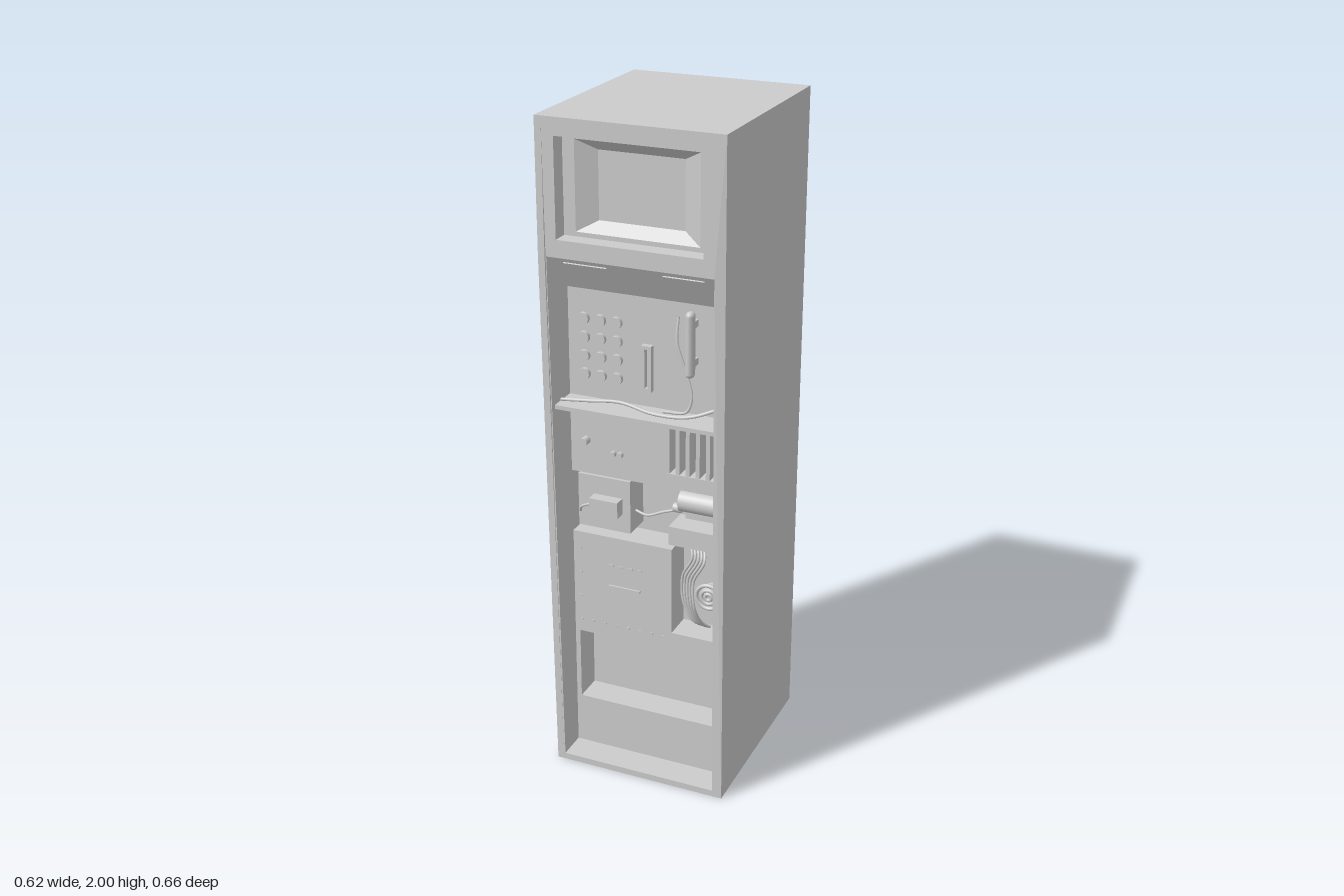
import * as THREE from 'three';

const grey = new THREE.MeshStandardMaterial({ color: 0xcccccc, side: THREE.DoubleSide });

export function createModel() {
  const root = new THREE.Group();

  const add = (name, geo, x = 0, y = 0, z = 0) => {
    const m = new THREE.Mesh(geo, grey);
    m.name = name;
    m.position.set(x, y, z);
    root.add(m);
    return m;
  };
  // Box given by its limits
  const box = (name, x0, x1, y0, y1, z0, z1) =>
    add(name, new THREE.BoxGeometry(x1 - x0, y1 - y0, z1 - z0), (x0 + x1) / 2, (y0 + y1) / 2, (z0 + z1) / 2);
  const polygon = pts => pts.map(p => new THREE.Vector2(...p));
  const rect = (x0, x1, y0, y1) => polygon([[x0, y0], [x1, y0], [x1, y1], [x0, y1]]);
  const extrude = (outline, holes, depth) => {
    const s = new THREE.Shape(outline);
    s.holes = holes.map(h => new THREE.Path(h));
    return new THREE.ExtrudeGeometry(s, { depth, bevelEnabled: false });
  };
  // Upright plate with rectangular holes
  const plate = (name, outline, holes, z0, z1) => add(name, extrude(outline, holes, z1 - z0), 0, 0, z0);
  // Profile in (z, y) carried along x
  const sideProfile = (name, pts, holes, x0, x1) =>
    add(name, extrude(polygon(pts), holes, x1 - x0).rotateY(-Math.PI / 2), x1);
  const tube = (name, pts, r, seg = 40) =>
    add(name, new THREE.TubeGeometry(new THREE.CatmullRomCurve3(pts.map(p => new THREE.Vector3(...p))), seg, r, 8));
  // Round part whose axis points forward
  const disc = (name, r, depth, x, y, z, sides = 20) =>
    add(name, new THREE.CylinderGeometry(r, r, depth, sides).rotateX(Math.PI / 2), x, y, z + depth / 2);

  // Cabinet: solid rear, tapering front frame and side wall with a socket recess
  box('cabinetBody', -0.21, 0.31, 0, 2, -0.295, 0.12);
  const frame = plate('frontFrame', rect(-0.21, 0.31, 0, 2),
    [rect(-0.175, 0.25, 1.67, 1.95), rect(-0.205, 0.28, 0.02, 1.62)], 0.12, 0.33);
  const fp = frame.geometry.attributes.position;
  for (let i = 0; i < fp.count; i++) {
    if (fp.getZ(i) > 0.1) fp.setZ(i, 0.18 + 0.03 * Math.min(1, fp.getY(i) / 1.62));
  }
  frame.geometry.computeVertexNormals();
  sideProfile('sideWall', [[-0.295, 0], [0.3, 0], [0.33, 1.62], [0.33, 2], [-0.295, 2]],
    [rect(-0.09, 0.16, 1.29, 1.53)], -0.23, -0.21);

  // Screen with a sloping bezel
  plate('screenSurround', rect(-0.175, 0.25, 1.67, 1.95), [rect(-0.14, 0.22, 1.683, 1.935)], 0.24, 0.28);
  const bezel = new THREE.BufferGeometry();
  const outer = rect(-0.14, 0.22, 1.683, 1.935), inner = rect(-0.085, 0.165, 1.713, 1.905);
  const corners = [];
  for (let i = 0; i < 4; i++) {
    const j = (i + 1) % 4;
    const [a, b] = [outer[i], outer[j]].map(p => [p.x, p.y, 0.28]);
    const [c, d] = [inner[j], inner[i]].map(p => [p.x, p.y, 0.25]);
    corners.push(...a, ...b, ...c, ...a, ...c, ...d);
  }
  bezel.setAttribute('position', new THREE.Float32BufferAttribute(corners, 3));
  bezel.computeVertexNormals();
  add('screenBezel', bezel);
  box('screen', -0.085, 0.165, 1.713, 1.905, 0.23, 0.25);

  // Overhanging strip with two small windows
  sideProfile('headerStrip', [[0.12, 1.5], [0.21, 1.5], [0.28, 1.62], [0.12, 1.62]], [], -0.205, 0.28);
  for (const [x, w] of [[-0.125, 0.13], [0.165, 0.12]]) {
    const label = add('headerWindow', new THREE.BoxGeometry(w, 0.06, 0.008), x, 1.56, 0.245);
    label.rotation.x = Math.atan2(0.07, 0.12);
  }

  // Upper panel with vent opening
  plate('controlPanel', rect(-0.205, 0.28, 0.94, 1.5), [rect(0.09, 0.255, 0.985, 1.13)], 0.12, 0.21);
  for (let i = 0; i < 6; i++) box('ventFin', 0.09 + i * 0.0306, 0.102 + i * 0.0306, 0.985, 1.13, 0.13, 0.208);
  for (let row = 0; row < 4; row++) {
    for (let col = 0; col < 3; col++) {
      disc('keypadButton', 0.017, 0.012, -0.155 + col * 0.05, 1.415 - row * 0.055, 0.21, 16);
    }
  }
  plate('cardSlot', rect(0.025, 0.055, 1.23, 1.365), [rect(0.035, 0.045, 1.24, 1.355)], 0.21, 0.228);

  // Handset, its cradle and cord
  const handset = add('handset', new THREE.CapsuleGeometry(0.013, 0.165, 6, 12), 0.178, 1.395, 0.243);
  handset.scale.z = 1.3;
  for (const y of [1.34, 1.45]) box('handsetCradle', 0.168, 0.188, y - 0.01, y + 0.01, 0.21, 0.24);
  tube('handsetCord', [[0.13, 1.46, 0.212], [0.132, 1.39, 0.225], [0.16, 1.31, 0.23], [0.18, 1.24, 0.235],
    [0.165, 1.195, 0.24], [0.1, 1.19, 0.25]], 0.004);

  // Shelf with a loose cable
  box('shelf', -0.205, 0.28, 1.168, 1.18, 0.21, 0.305);
  tube('shelfCable', [[-0.203, 1.185, 0.27], [-0.12, 1.19, 0.26], [-0.03, 1.196, 0.25], [0.08, 1.185, 0.265],
    [0.18, 1.19, 0.26], [0.279, 1.225, 0.23]], 0.005);

  // Knobs below the shelf
  disc('knob', 0.012, 0.025, -0.155, 1.045, 0.21);
  for (const x of [-0.07, -0.048]) disc('smallKnob', 0.009, 0.015, x, 1.017, 0.21);

  // Middle bay: junction box, motor and bracket
  box('junctionBox', -0.185, -0.02, 0.77, 0.935, 0.12, 0.21);
  box('junctionCover', -0.135, -0.045, 0.828, 0.878, 0.21, 0.245);
  tube('junctionWire', [[-0.18, 0.815, 0.21], [-0.17, 0.835, 0.222], [-0.135, 0.853, 0.225]], 0.004, 16);
  tube('motorWire', [[-0.02, 0.828, 0.17], [0.02, 0.825, 0.18], [0.07, 0.845, 0.18], [0.125, 0.865, 0.18]], 0.004);
  add('motor', new THREE.CylinderGeometry(0.032, 0.032, 0.135, 24).rotateZ(Math.PI / 2), 0.195, 0.895, 0.18);
  add('motorCap', new THREE.CylinderGeometry(0.014, 0.014, 0.025, 16).rotateZ(Math.PI / 2), 0.117, 0.868, 0.18);
  box('motorMount', 0.125, 0.265, 0.82, 0.93, 0.12, 0.145);
  box('motorBracket', 0.1, 0.255, 0.76, 0.818, 0.12, 0.21);

  // Lower cover plate with small fasteners
  box('lowerCover', -0.205, 0.11, 0.42, 0.745, 0.12, 0.21);
  for (let i = 0; i < 8; i++) box('screw', -0.186 + i * 0.038, -0.178 + i * 0.038, 0.45, 0.456, 0.21, 0.213);
  for (const y of [0.53, 0.61, 0.69]) box('screw', -0.186, -0.178, y, y + 0.006, 0.21, 0.213);
  for (let i = 0; i < 4; i++) box('screw', -0.09 + i * 0.03, -0.075 + i * 0.03, 0.65, 0.656, 0.21, 0.213);
  box('coverHandle', -0.09, 0.01, 0.58, 0.588, 0.21, 0.216);

  // Wire bay with a round horn
  box('wireBayEdge', 0.245, 0.28, 0.42, 0.745, 0.12, 0.21);
  box('wireBaySill', 0.11, 0.245, 0.42, 0.47, 0.12, 0.21);
  disc('horn', 0.028, 0.04, 0.205, 0.585, 0.12, 24);
  for (const r of [0.038, 0.022, 0.01]) add('hornRing', new THREE.TorusGeometry(r, 0.006, 8, 24), 0.205, 0.585, 0.16);
  for (let i = 0; i < 5; i++) {
    const o = i * 0.011;
    tube('bayWire', [[0.14 + o, 0.757, 0.15], [0.16 + o, 0.715, 0.175 + o / 3], [0.125 + o, 0.64, 0.165 + o / 2],
      [0.13 + o, 0.56, 0.17 + o / 2], [0.16 + o * 0.6, 0.5, 0.165], [0.19 + o * 0.3, 0.475, 0.14]], 0.004);
  }

  // Bottom panel with an open tray
  plate('trayPanel', rect(-0.205, 0.28, 0.02, 0.42), [rect(-0.19, 0.27, 0.18, 0.41)], 0.12, 0.21);

  // Side socket plate, plug and power cable
  add('socketRing', new THREE.TorusGeometry(0.033, 0.005, 8, 24).rotateY(Math.PI / 2), -0.212, 1.345, 0.11);
  add('socketCore', new THREE.CylinderGeometry(0.018, 0.018, 0.012, 20).rotateZ(Math.PI / 2), -0.215, 1.345, 0.11);
  add('plug', new THREE.CylinderGeometry(0.009, 0.009, 0.04, 16).rotateZ(Math.PI / 2), -0.228, 1.345, -0.017);
  tube('powerCable', [[-0.24, 1.345, -0.016], [-0.28, 1.33, -0.009], [-0.302, 1.27, -0.005], [-0.309, 1.18, -0.012],
    [-0.295, 0.95, -0.07], [-0.272, 0.7, -0.175], [-0.256, 0.53, -0.28], [-0.248, 0.46, -0.315],
    [-0.233, 0.42, -0.325], [-0.19, 0.35, -0.324], [-0.11, 0.25, -0.32], [0.025, 0.16, -0.329]], 0.0045, 100);

  return root;
}
